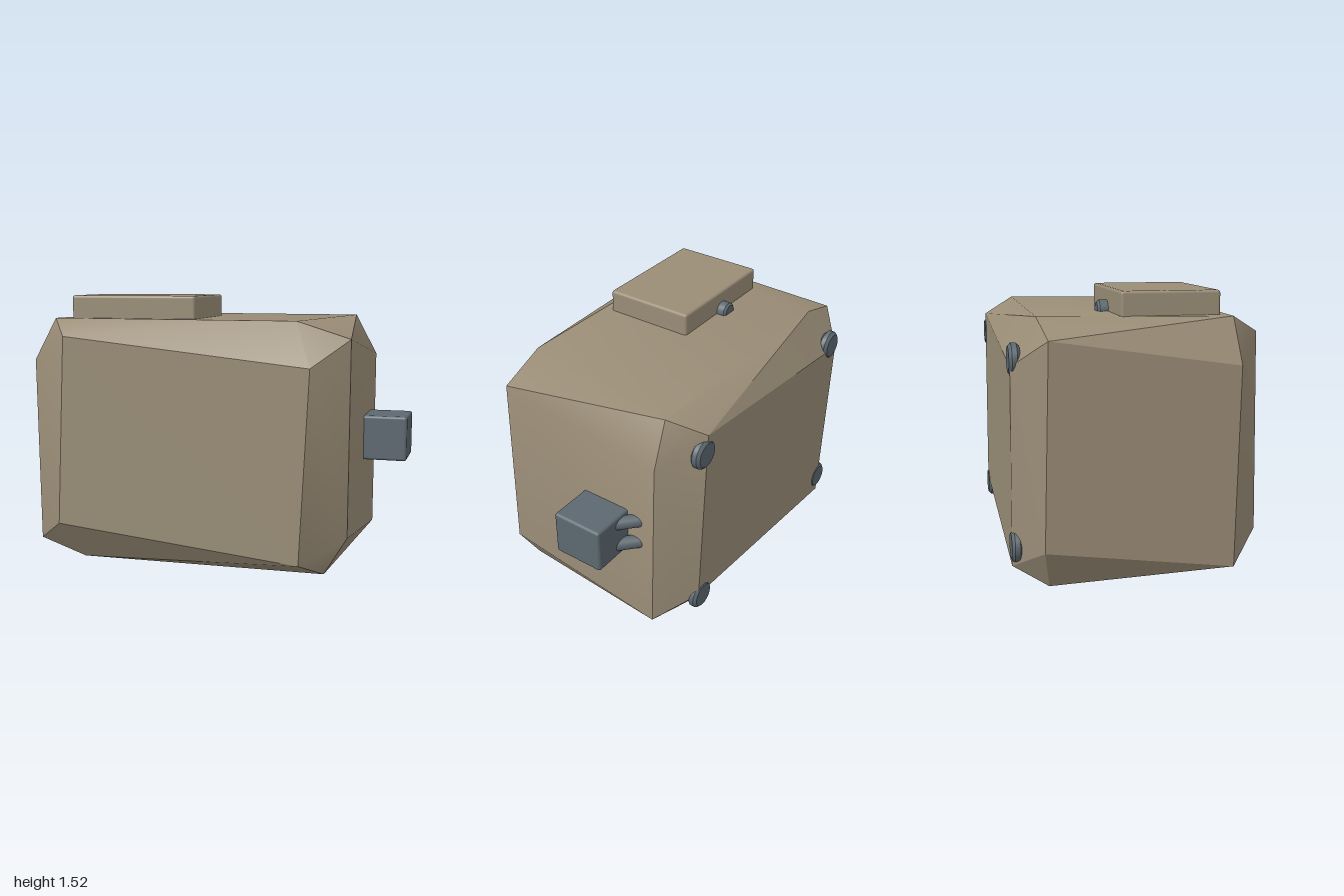
import * as THREE from 'three';
import { toCreasedNormals } from 'three/addons/utils/BufferGeometryUtils.js';
import { ConvexGeometry } from 'three/addons/geometries/ConvexGeometry.js';
import { RoundedBoxGeometry } from 'three/addons/geometries/RoundedBoxGeometry.js';

export function createModel() {
  const group = new THREE.Group();
  const tan = new THREE.MeshStandardMaterial({ name: 'tan shell', color: 0x9a8d77 });
  const grey = new THREE.MeshStandardMaterial({ name: 'slate grey metal', color: 0x5d6870 });

  function add(name, geometry, material, x = 0, y = 0, z = 0) {
    const mesh = new THREE.Mesh(geometry, material);
    mesh.name = name;
    mesh.position.set(x, y, z);
    group.add(mesh);
    return mesh;
  }

  // Bevelled cylinder lying along z
  function discZ(r, length, bevel, sides) {
    const h = length / 2;
    const profile = [[0, -h], [r - bevel, -h], [r, -h + bevel], [r, h - bevel], [r - bevel, h], [0, h]];
    const g = new THREE.LatheGeometry(profile.map(([a, b]) => new THREE.Vector2(a, b)), sides);
    g.rotateX(Math.PI / 2);
    return toCreasedNormals(g, 0.6);
  }

  // Body: six skewed faces, one front, side and top quad each turned half round for its opposite
  const half = [0.88, 0.665, 0.632];
  const quads = [
    [[-0.64, 0.575, half[2]], [0.7, 0.435, half[2]], [0.65, -0.585, half[2]], [-0.69, -0.45, half[2]]],
    [[half[0], 0.575, 0.47], [half[0], 0.435, -0.48], [half[0], -0.585, -0.46], [half[0], -0.455, 0.495]],
    [[-0.755, half[1], 0.47], [0.6, half[1], 0.49], [0.76, half[1], -0.46], [-0.6, half[1], -0.49]],
  ];
  const points = [];
  quads.forEach((quad, i) => {
    for (const [x, y, z] of quad) {
      points.push(new THREE.Vector3(x, y, z));
      // half turn about x for the underside, about y for the back and left
      points.push(i === 2 ? new THREE.Vector3(-x, -y, z) : new THREE.Vector3(-x, y, -z));
    }
  });
  add('body', toCreasedNormals(new ConvexGeometry(points), 0.5), tan, -0.12, 0.735, 0);

  // Lid with its knob
  add('topLid', new RoundedBoxGeometry(0.71, 0.17, 0.51, 2, 0.015), tan, -0.44, 1.438, 0.175);
  add('lidKnob', discZ(0.052, 0.1, 0.012, 16), grey, -0.445, 1.405, -0.085);

  // Side block with two slanted prongs
  add('sideBlock', new RoundedBoxGeometry(0.3, 0.25, 0.285, 2, 0.015), grey, 0.85, 0.728, -0.168);
  const from = new THREE.Vector3(0.70, 0, -0.407);
  const to = new THREE.Vector3(0.85, 0, -0.272);
  for (const y of [0.66, 0.8]) {
    const path = new THREE.LineCurve3(from, to);
    add('sideProng', new THREE.TubeGeometry(path, 1, 0.036, 16), grey, 0, y, 0);
  }

  // Four round feet on the back
  for (const x of [-0.77, 0.53]) {
    for (const y of [0.255, 1.2]) {
      add('backFoot', discZ(0.081, 0.056, 0.015, 24), grey, x, y, -0.609);
    }
  }

  // Stepped cylinder half sunk in the underside
  add('undersideCylinder', discZ(0.162, 0.315, 0.012, 12), grey, 0.28, 0.162, 0.082);
  add('undersideCore', discZ(0.134, 0.455, 0.012, 16), grey, 0.28, 0.162, 0.122);

  // Small six-sided studs under the body
  for (const x of [-0.38, 0.14]) {
    add('undersideStud', discZ(0.047, 0.07, 0.008, 6), grey, x, 0.062, -0.04);
  }

  return group;
}
